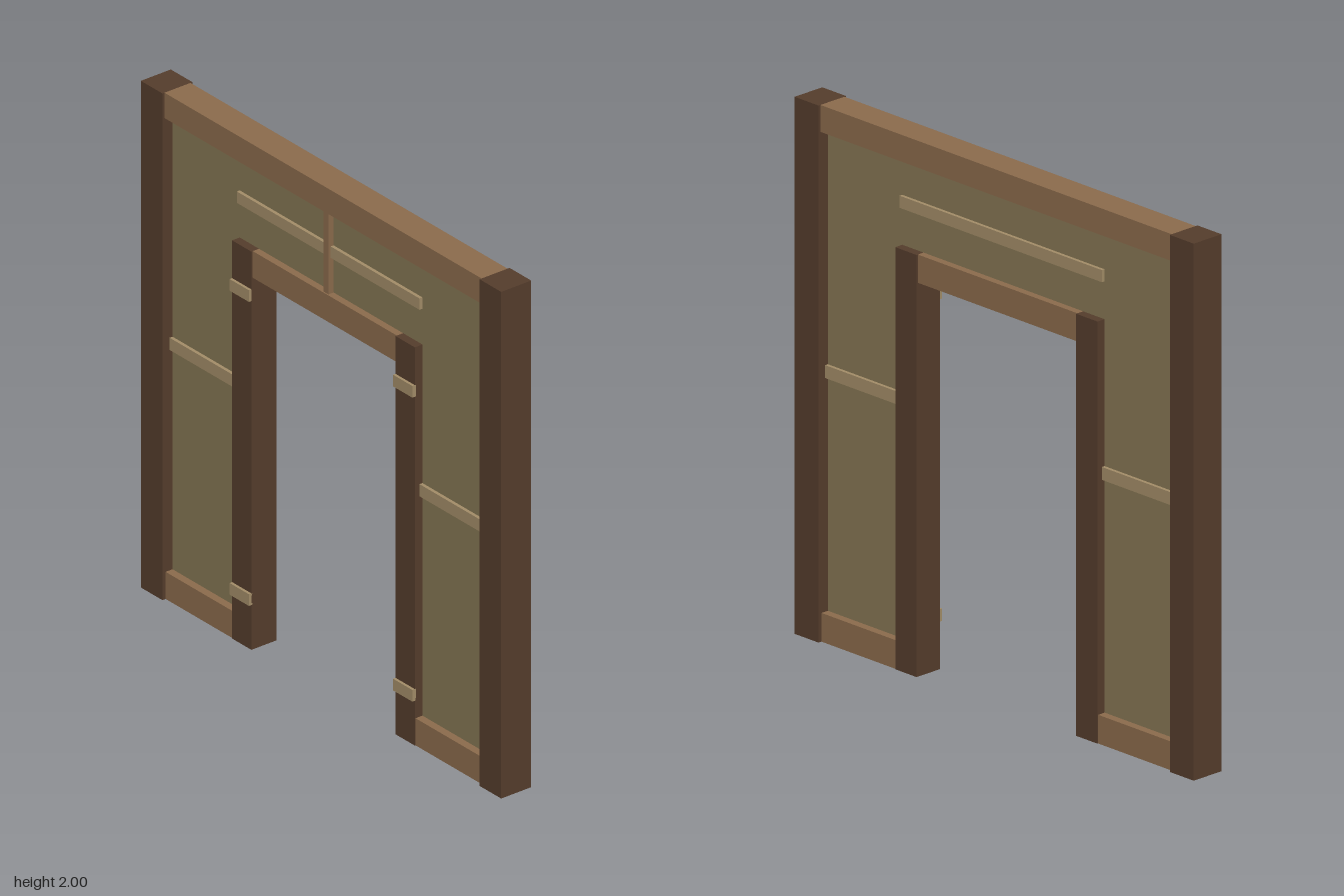
import * as THREE from 'three';

export function createModel() {
  const model = new THREE.Group();
  model.name = 'doorwayWall';
  const mat = (color) => new THREE.MeshStandardMaterial({ color, flatShading: true });
  const darkWood = mat(0x553d2c);
  const wood = mat(0x8b6b4c);
  const plaster = mat(0x857653);
  const paleWood = mat(0xa38d68);

  // Box given by its limits on each axis
  function block(name, material, [x0, x1], [y0, y1], [z0, z1]) {
    const mesh = new THREE.Mesh(new THREE.BoxGeometry(x1 - x0, y1 - y0, z1 - z0), material);
    mesh.position.set((x0 + x1) / 2, (y0 + y1) / 2, (z0 + z1) / 2);
    mesh.name = name;
    model.add(mesh);
  }

  // Wall panel with the door opening cut out
  const outline = new THREE.Shape([
    [-0.9, 0.02], [-0.45, 0.02], [-0.45, 1.52], [0.45, 1.52],
    [0.45, 0.02], [0.9, 0.02], [0.9, 1.95], [-0.9, 1.95],
  ].map(([x, y]) => new THREE.Vector2(x, y)));
  const panelGeometry = new THREE.ExtrudeGeometry(outline, { depth: 0.044, bevelEnabled: false });
  panelGeometry.translate(0, 0, -0.022);
  const panel = new THREE.Mesh(panelGeometry, plaster);
  panel.name = 'wallPanel';
  model.add(panel);

  // Horizontal beams over the wall and the door
  block('topBeam', wood, [-0.88, 0.88], [1.9, 2], [-0.058, 0.058]);
  block('doorLintel', wood, [-0.4, 0.4], [1.467, 1.572], [-0.05, 0.05]);

  // Parts mirrored on both sides of the door
  for (const [label, s] of [['left', 1], ['right', -1]]) {
    const span = (a, b) => (s > 0 ? [a, b] : [-b, -a]);
    block(label + 'OuterPost', darkWood, span(0.88, 1), [0, 2], [-0.067, 0.067]);
    block(label + 'DoorPost', darkWood, span(0.4, 0.507), [0, 1.572], [-0.056, 0.056]);
    block(label + 'Sill', wood, span(0.507, 0.88), [0, 0.107], [-0.053, 0.053]);
    block(label + 'MiddleRail', paleWood, span(0.507, 0.88), [0.977, 1.025], [-0.035, 0.035]);
    // Hinge straps on the front of the door post
    for (const y of [0.2, 1.4]) {
      block(label + 'Strap', paleWood, span(0.4, 0.507), [y - 0.023, y + 0.023], [0.05, 0.067]);
    }
  }

  // Batten above the door, and the front strut crossing it
  block('upperBatten', paleWood, [-0.507, 0.507], [1.713, 1.758], [-0.035, 0.035]);
  block('frontStrut', wood, [-0.014, 0.014], [1.572, 1.9], [0.02, 0.045]);

  return model;
}
